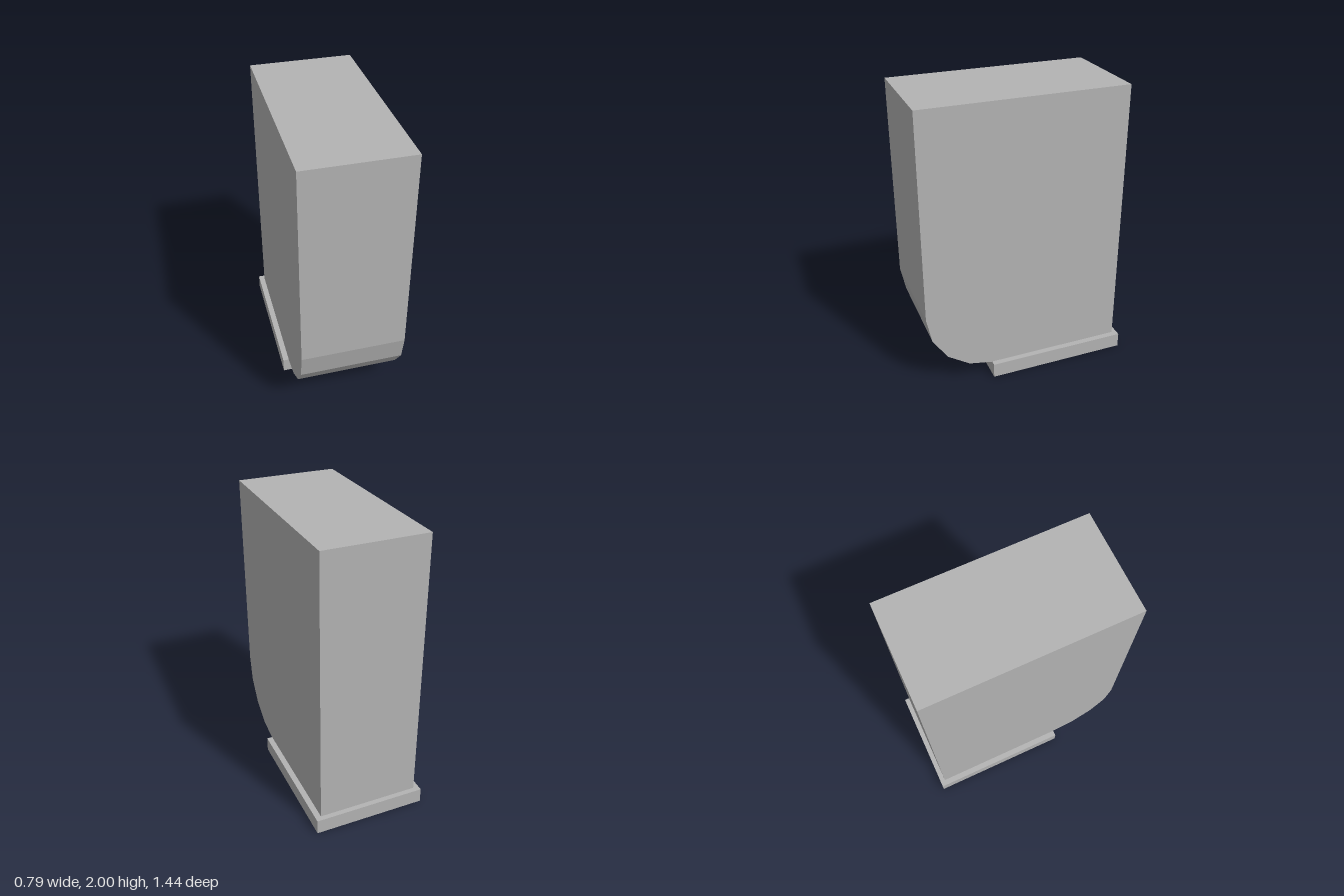
import * as THREE from 'three';

export function createModel() {
  const group = new THREE.Group();
  const grey = new THREE.MeshStandardMaterial({ color: 0xb3b3b3, flatShading: true });
  grey.name = 'plain grey';

  // Body: side profile (z, y) with a four-facet rounded lower front edge
  const back = -0.685, front = 0.72, bottom = 0.1, top = 2, radius = 0.47, facets = 4;
  const profile = [new THREE.Vector2(back, top), new THREE.Vector2(back, bottom)];
  for (let i = 0; i <= facets; i++) {
    const a = (i / facets) * Math.PI / 2;
    profile.push(new THREE.Vector2(
      front - radius + radius * Math.sin(a),
      bottom + radius - radius * Math.cos(a)
    ));
  }
  profile.push(new THREE.Vector2(front, top));

  const width = 0.705;
  const bodyGeometry = new THREE.ExtrudeGeometry(new THREE.Shape(profile), {
    depth: width, bevelEnabled: false
  });
  bodyGeometry.translate(0, 0, -width / 2);
  bodyGeometry.rotateY(-Math.PI / 2);
  const body = new THREE.Mesh(bodyGeometry, grey);
  body.name = 'body';
  group.add(body);

  // Base plate set towards the back
  const base = new THREE.Mesh(new THREE.BoxGeometry(0.785, 0.105, 0.985), grey);
  base.name = 'basePlate';
  base.position.set(0, 0.0525, -0.2275);
  group.add(base);

  return group;
}
